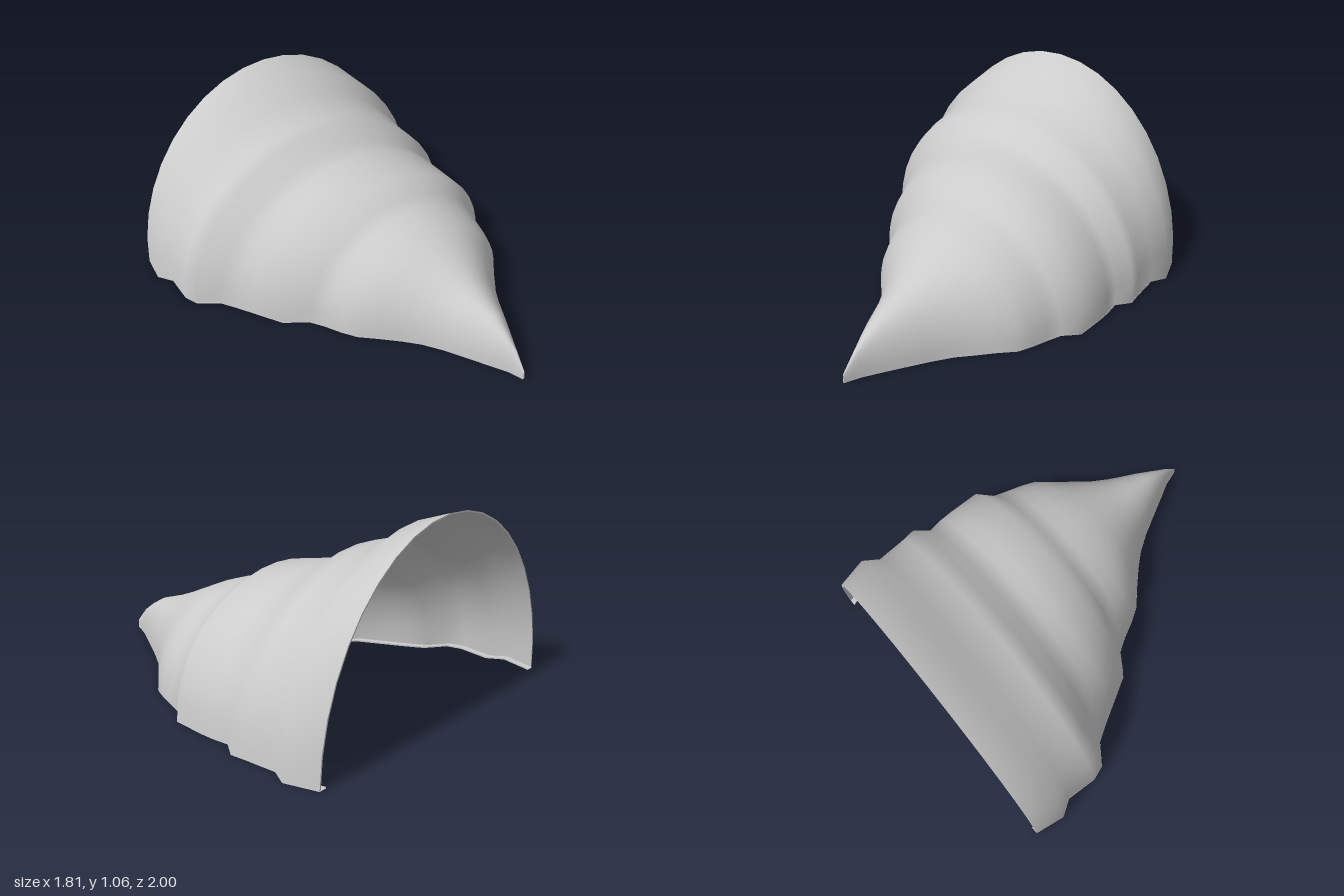
import * as THREE from 'three';

// cross-sections, tip to mouth: z, right edge x, left edge x, crown height
const SECTIONS = [
  [1, 0.24, 0.25, 0.05],
  [0.92, 0.215, 0.278, 0.14],
  [0.84, 0.172, 0.318, 0.2],
  [0.75, 0.125, 0.365, 0.255],
  [0.6, 0.045, 0.445, 0.31],
  [0.5, -0.02, 0.505, 0.355],
  [0.42, -0.09, 0.57, 0.395],
  [0.33, -0.18, 0.64, 0.44],
  [0.25, -0.265, 0.71, 0.48],
  [0.17, -0.315, 0.74, 0.51],
  [0.08, -0.36, 0.765, 0.54],
  [0, -0.41, 0.79, 0.567],
  [-0.08, -0.53, 0.86, 0.65],
  [-0.25, -0.625, 0.86, 0.68],
  [-0.33, -0.67, 0.855, 0.698],
  [-0.42, -0.725, 0.84, 0.72],
  [-0.5, -0.835, 0.895, 0.81],
  [-0.58, -0.862, 0.882, 0.835],
  [-0.75, -0.852, 0.86, 0.9],
  [-0.835, -0.907, 0.903, 0.993],
  [-1, -0.88, 0.843, 1.057],
];
const STEPS = 20;
const WALL = 0.008;
const LIP = 0.04;

const shellGrey = new THREE.MeshStandardMaterial({ color: 0xcccccc, side: THREE.DoubleSide });
shellGrey.name = 'shell grey';

// half-ellipse arch of one section, inset by the wall thickness
function arch([z, x0, x1, h], inset) {
  const c = (x0 + x1) / 2;
  const a = Math.max((x1 - x0) / 2 - inset, 0.001);
  const points = [];
  for (let j = 0; j <= STEPS; j++) {
    const t = (j / STEPS) * Math.PI;
    points.push([c + a * Math.cos(t), Math.max(inset, (h - inset) * Math.sin(t)), z]);
  }
  return points;
}

// smooth surface through rows of points
function surface(name, rows) {
  const n = rows[0].length;
  const index = [];
  for (let i = 0; i < rows.length - 1; i++) {
    for (let j = 0; j < n - 1; j++) {
      const p = i * n + j;
      const q = p + n;
      index.push(p, q, q + 1, p, q + 1, p + 1);
    }
  }
  const geometry = new THREE.BufferGeometry();
  geometry.setAttribute('position', new THREE.Float32BufferAttribute(rows.flat(2), 3));
  geometry.setIndex(index);
  geometry.computeVertexNormals();
  const mesh = new THREE.Mesh(geometry, shellGrey);
  mesh.name = name;
  return mesh;
}

export function createModel() {
  const group = new THREE.Group();
  group.name = 'ridgedHalfShell';

  // outside and inside of the ridged shell
  const outer = SECTIONS.map((s) => arch(s, 0));
  const inner = SECTIONS.map((s) => arch(s, WALL));
  group.add(surface('outerShell', outer));
  group.add(surface('innerShell', inner.map((row) => [...row].reverse())));

  // rims closing the mouth and the tip
  const last = SECTIONS.length - 1;
  group.add(surface('mouthRim', [outer[last], inner[last]]));
  group.add(surface('tipRim', [inner[0], outer[0]]));

  // thin lips turned inwards along both ground edges
  for (const side of [1, -1]) {
    const label = side > 0 ? 'left' : 'right';
    const strip = (part, from, to) => {
      const rows = SECTIONS.map(([z, x0, x1]) => {
        const edge = side > 0 ? x1 : x0;
        const reach = Math.min(LIP, (x1 - x0) / 2);
        const row = [from, to].map(([u, y]) => [edge - side * u * reach, y, z]);
        return side > 0 ? row : row.reverse();
      });
      group.add(surface(label + part, rows));
    };
    strip('LipTop', [0, WALL], [1, WALL]);
    strip('LipEdge', [1, WALL], [1, 0]);
    strip('LipBottom', [1, 0], [0, 0]);
  }
  return group;
}
